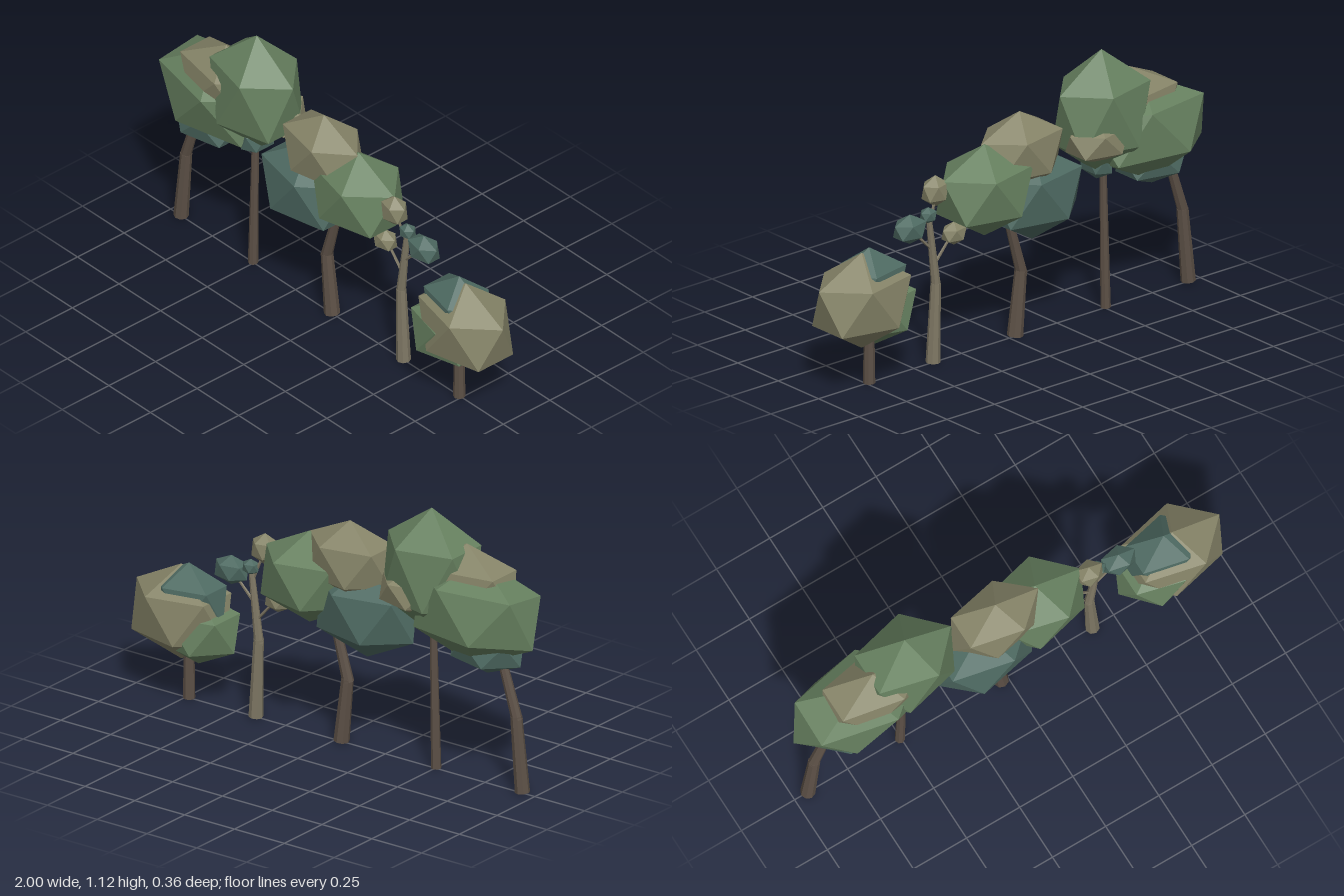
import * as THREE from 'three';

const mat = (color) => new THREE.MeshStandardMaterial({ color, flatShading: true });
const GREEN = mat(0x66805f);
const OLIVE = mat(0x868468);
const TEAL = mat(0x4e6a62);
const BARK = mat(0x5c5046);
const PALE_BARK = mat(0x7d7663);

// Icosahedron standing on a vertex, shared by all leaf clumps
const GOLDEN = (1 + Math.sqrt(5)) / 2;
const clumpGeometry = new THREE.IcosahedronGeometry(1, 0).rotateZ(-Math.atan(1 / GOLDEN));

// Ellipsoidal leaf clump with centre x, y, z and radii rx, ry, rz
function addClump(tree, material, x, y, z, rx, ry, rz) {
  const clump = new THREE.Mesh(clumpGeometry, material);
  clump.name = 'leafClump';
  clump.position.set(x, y, z);
  clump.scale.set(rx, ry, rz);
  tree.add(clump);
  return clump;
}

// Tapered straight piece of wood between two points
function addLimb(tree, name, material, from, to, r0, r1, sides) {
  const dir = to.clone().sub(from);
  const limb = new THREE.Mesh(new THREE.CylinderGeometry(r1, r0, dir.length(), sides), material);
  limb.name = name;
  limb.position.copy(from).add(to).multiplyScalar(0.5);
  limb.quaternion.setFromUnitVectors(new THREE.Vector3(0, 1, 0), dir.normalize());
  tree.add(limb);
}

// Trunk in straight segments; each starts a little inside and thinner than the one below
function addTrunk(tree, material, r0, r1, ...points) {
  const segments = points.length - 1;
  const radius = (i) => THREE.MathUtils.lerp(r0, r1, i / segments);
  for (let i = 0; i < segments; i++) {
    const from = new THREE.Vector3(...points[i]);
    const to = new THREE.Vector3(...points[i + 1]);
    if (i > 0) from.lerp(to, -0.06);
    addLimb(tree, 'trunk', material, from, to, radius(i) * (i > 0 ? 0.95 : 1), radius(i + 1), 8);
  }
}

function addBranch(tree, x0, y0, x1, y1, z1) {
  addLimb(tree, 'branch', PALE_BARK, new THREE.Vector3(x0, y0, 0), new THREE.Vector3(x1, y1, z1), 0.007, 0.005, 5);
}

function namedGroup(name) {
  const group = new THREE.Group();
  group.name = name;
  return group;
}

function leaningTree() {
  const tree = namedGroup('leaningTree');
  addTrunk(tree, BARK, 0.031, 0.018, [-0.938, 0.004, 0], [-0.907, 0.325, 0], [-0.82, 0.6, 0]);
  addClump(tree, GREEN, -0.71, 0.73, 0, 0.322, 0.222, 0.197).rotation.x = 0.12;
  addClump(tree, OLIVE, -0.645, 0.83, 0.02, 0.26, 0.17, 0.15);
  addClump(tree, TEAL, -0.755, 0.585, 0.01, 0.185, 0.113, 0.13);
  return tree;
}

function tallTree() {
  const tree = namedGroup('tallTree');
  addTrunk(tree, BARK, 0.021, 0.014, [-0.505, 0.002, 0], [-0.49, 0.66, 0]);
  addClump(tree, GREEN, -0.483, 0.85, 0, 0.244, 0.272, 0.182);
  addClump(tree, OLIVE, -0.42, 0.765, -0.05, 0.16, 0.1, 0.12);
  addClump(tree, TEAL, -0.465, 0.64, 0.01, 0.06, 0.075, 0.09);
  return tree;
}

function bentTree() {
  const tree = namedGroup('bentTree');
  addTrunk(tree, BARK, 0.033, 0.018, [-0.03, 0.004, 0], [-0.06, 0.28, 0], [0.01, 0.53, 0]);
  addClump(tree, OLIVE, -0.064, 0.79, 0.013, 0.225, 0.17, 0.145);
  addClump(tree, TEAL, -0.14, 0.588, 0.025, 0.258, 0.203, 0.17);
  addClump(tree, GREEN, 0.13, 0.675, 0, 0.242, 0.197, 0.18);
  return tree;
}

function slenderTree() {
  const tree = namedGroup('slenderTree');
  addTrunk(tree, PALE_BARK, 0.03, 0.012, [0.4, 0.002, 0], [0.386, 0.34, 0], [0.422, 0.63, 0]);
  addBranch(tree, 0.395, 0.42, 0.3, 0.53, 0);
  addBranch(tree, 0.405, 0.49, 0.52, 0.605, 0);
  addBranch(tree, 0.415, 0.59, 0.37, 0.72, 0.02);
  addClump(tree, OLIVE, 0.37, 0.726, 0.022, 0.068, 0.068, 0.052);
  addClump(tree, TEAL, 0.425, 0.642, 0, 0.04, 0.035, 0.035);
  addClump(tree, TEAL, 0.522, 0.607, 0, 0.086, 0.063, 0.058);
  addClump(tree, OLIVE, 0.29, 0.53, 0, 0.064, 0.05, 0.045);
  return tree;
}

function roundTree() {
  const tree = namedGroup('roundTree');
  addTrunk(tree, BARK, 0.025, 0.021, [0.735, 0, 0], [0.735, 0.26, 0]);
  addClump(tree, OLIVE, 0.774, 0.366, 0, 0.25, 0.205, 0.177);
  addClump(tree, GREEN, 0.695, 0.31, 0.01, 0.2, 0.155, 0.16);
  addClump(tree, TEAL, 0.735, 0.425, 0, 0.19, 0.16, 0.13);
  return tree;
}

export function createModel() {
  const model = namedGroup('treeRow');
  model.add(leaningTree(), tallTree(), bentTree(), slenderTree(), roundTree());
  return model;
}
